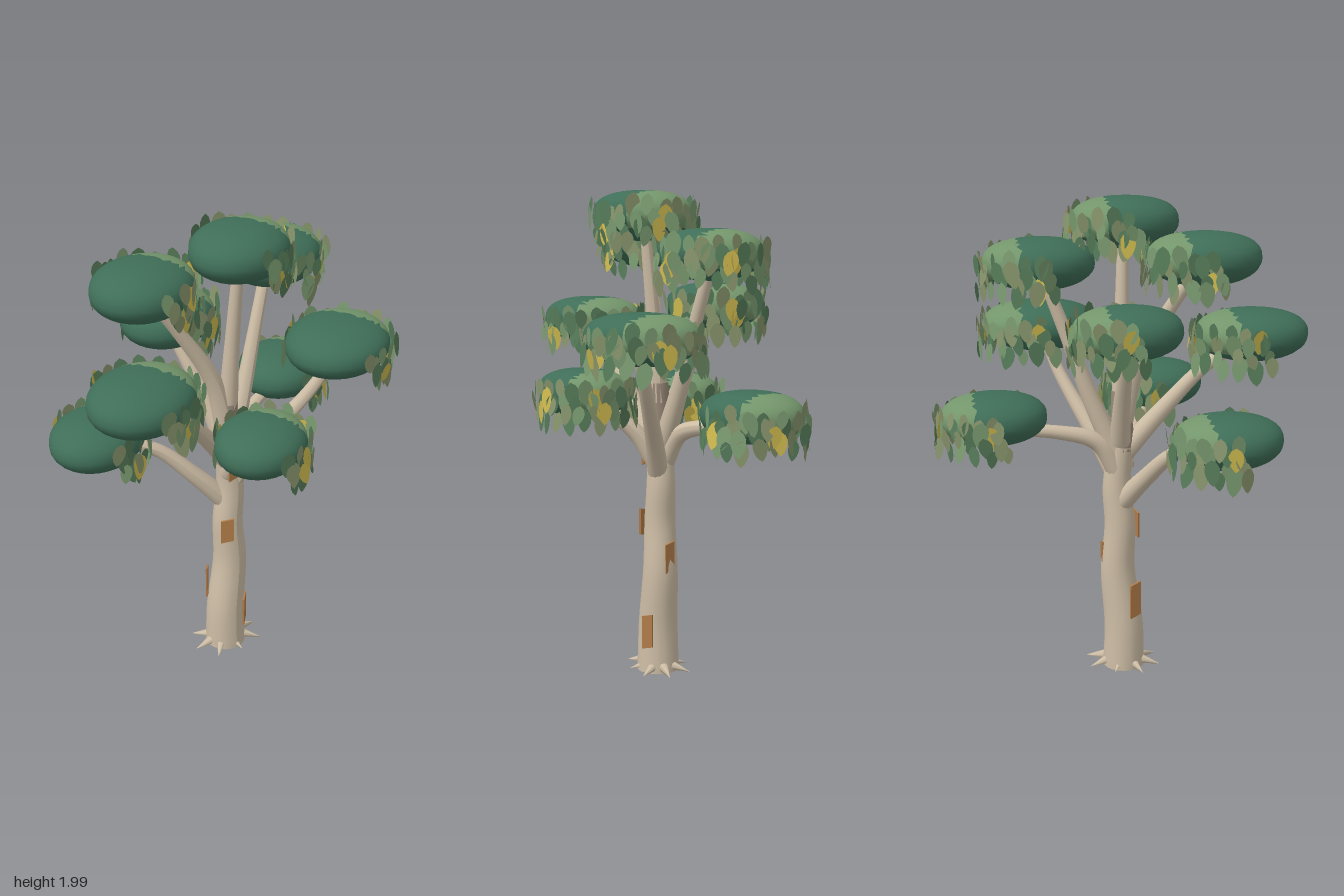
import * as THREE from 'three';
import { mergeGeometries } from 'three/addons/utils/BufferGeometryUtils.js';

const V = (x, y, z) => new THREE.Vector3(x, y, z);

function mat(name, color, doubleSided = false) {
  const m = new THREE.MeshStandardMaterial({ color });
  m.name = name;
  if (doubleSided) m.side = THREE.DoubleSide;
  return m;
}

function seeded(seed) {
  return () => {
    seed = (seed * 16807) % 2147483647;
    return seed / 2147483647;
  };
}

// Tapered limb: a tube whose rings are rescaled along the path
function limb(points, radii, sides = 12, steps = 20) {
  const curve = new THREE.CatmullRomCurve3(points);
  const geo = new THREE.TubeGeometry(curve, steps, 1, sides, false);
  const p = geo.attributes.position;
  const v = V(0, 0, 0);
  for (let i = 0; i <= steps; i++) {
    const c = curve.getPointAt(i / steps);
    const t = (i / steps) * (radii.length - 1);
    const k = Math.min(Math.floor(t), radii.length - 2);
    const r = THREE.MathUtils.lerp(radii[k], radii[k + 1], t - k);
    for (let j = 0; j <= sides; j++) {
      const n = i * (sides + 1) + j;
      v.fromBufferAttribute(p, n).sub(c).multiplyScalar(r).add(c);
      p.setXYZ(n, v.x, v.y, v.z);
    }
  }
  geo.computeVertexNormals();
  return geo;
}

// Foliage cushion: flat-topped ellipsoid, its far end in the lighter colour
function cushionGeometry() {
  const geo = new THREE.SphereGeometry(1, 28, 18).toNonIndexed();
  const p = geo.attributes.position;
  const nrm = geo.attributes.normal;
  for (let i = 0; i < p.count; i++) {
    const x = p.getX(i), y = p.getY(i), z = p.getZ(i);
    const r = Math.hypot(x, z);
    const k = r > 1e-4 ? Math.pow(r, 0.85) / r : 1;
    const h = y > 0 ? Math.pow(y, 0.75) : y;
    p.setXYZ(i, x * k * 0.218, h * 0.1, z * k * 0.187);
    const n = V(x / 0.218, y / 0.1, z / 0.187).normalize();
    nrm.setXYZ(i, n.x, n.y, n.z);
  }
  for (let i = 0; i < p.count; i += 3) {
    const cx = (p.getX(i) + p.getX(i + 1) + p.getX(i + 2)) / 3;
    const cy = (p.getY(i) + p.getY(i + 1) + p.getY(i + 2)) / 3;
    geo.addGroup(i, 3, cx > 0.085 && cy > -0.05 ? 1 : 0);
  }
  return geo;
}

// Pointed oval leaf, hanging in the xy plane
function leafGeometry() {
  const s = new THREE.Shape();
  s.moveTo(0, 0.045);
  s.quadraticCurveTo(0.036, 0.03, 0.027, -0.008);
  s.quadraticCurveTo(0.02, -0.038, 0, -0.052);
  s.quadraticCurveTo(-0.02, -0.038, -0.027, -0.008);
  s.quadraticCurveTo(-0.036, 0.03, 0, 0.045);
  return new THREE.ShapeGeometry(s, 3);
}

export function createModel() {
  const tree = new THREE.Group();
  tree.name = 'tree';
  const bark = mat('paleBark', 0xcdbda5);
  const greyBark = mat('greyBark', 0x9b8a7a);
  const peel = mat('peelingBark', 0xb07b48, true);
  const dark = mat('darkFoliage', 0x3f6e58);
  const light = mat('lightFoliage', 0x74966c);
  const leafMats = [
    mat('greenLeaf', 0x557a58, true),
    mat('sageLeaf', 0x7a9a70, true),
    mat('oliveLeaf', 0x87946c, true),
    mat('yellowLeaf', 0xccb84e, true),
  ];
  const add = (parent, name, geo, material) => {
    const m = new THREE.Mesh(geo, material);
    m.name = name;
    parent.add(m);
    return m;
  };

  // Trunk with a gentle sway
  add(tree, 'trunk', limb(
    [V(0.005, 0.01, -0.012), V(0.005, 0.2, -0.012), V(0.03, 0.45, -0.014), V(0.02, 0.65, -0.015),
      V(0.033, 0.82, -0.015), V(0.015, 1.0, -0.015)],
    [0.088, 0.082, 0.074, 0.066, 0.06, 0.05], 20, 32), bark);
  const base = add(tree, 'trunkBase', new THREE.CircleGeometry(0.088, 20), bark);
  base.rotation.x = Math.PI / 2;
  base.position.set(0.005, 0.01, -0.012);
  add(tree, 'upperTrunk', limb([V(0.015, 0.98, -0.015), V(0.012, 1.1, -0.012), V(0.015, 1.23, -0.008)],
    [0.05, 0.046, 0.042], 14, 6), greyBark);

  // Root spikes
  for (let i = 0; i < 8; i++) {
    const a = (i / 8) * Math.PI * 2;
    const out = V(Math.cos(a), -0.18, Math.sin(a)).normalize();
    const root = add(tree, 'root', new THREE.ConeGeometry(0.026, 0.11, 8), bark);
    root.quaternion.setFromUnitVectors(V(0, 1, 0), out);
    root.position.set(0.008 + Math.cos(a) * 0.112, 0.03, -0.012 + Math.sin(a) * (i % 4 === 2 ? 0.072 : 0.09));
  }

  // Branches, each ending inside its cushion
  const branches = [
    [V(0.015, 1.15, -0.01), V(0.02, 1.45, 0.01), V(0.025, 1.86, 0.05)],
    [V(0.01, 1.1, -0.01), V(-0.05, 1.34, -0.02), V(-0.19, 1.58, -0.05), V(-0.3, 1.74, -0.07)],
    [V(0.03, 0.95, -0.02), V(0.13, 1.2, -0.06), V(0.23, 1.5, -0.1), V(0.3, 1.7, -0.13)],
    [V(0.01, 0.96, 0), V(-0.13, 1.13, 0.05), V(-0.29, 1.31, 0.1), V(-0.43, 1.42, 0.14)],
    [V(0.015, 1.02, -0.03), V(-0.02, 1.22, -0.12), V(-0.07, 1.42, -0.23), V(-0.09, 1.5, -0.28)],
    [V(0.02, 0.83, -0.01), V(0.13, 0.99, 0.04), V(0.33, 1.25, 0.14), V(0.4, 1.38, 0.18)],
    [V(0.02, 0.74, -0.02), V(-0.1, 0.88, -0.07), V(-0.25, 1.03, -0.15), V(-0.42, 1.09, -0.21)],
    [V(0.015, 0.9, 0.0), V(0.0, 1.02, 0.08), V(-0.03, 1.12, 0.2), V(-0.04, 1.17, 0.28)],
    [V(0.02, 0.87, -0.02), V(0.1, 1.02, -0.07), V(0.24, 1.07, -0.14), V(0.42, 1.09, -0.22)],
  ];
  branches.forEach((pts, i) => {
    add(tree, 'branch', limb(pts, i === 0 ? [0.042, 0.03, 0.022] : [0.045, 0.036, 0.028, 0.023]), bark);
  });

  // Peeling bark strips: x, y, z, outward angle, width, height
  const strips = [
    [-0.028, 0.64, 0.048, 2.2, 0.055, 0.11],
    [-0.06, 0.33, -0.058, 3.85, 0.05, 0.15],
    [0.062, 0.19, 0.052, 0.8, 0.05, 0.14],
    [0.0, 0.93, 0.05, 1.6, 0.04, 0.08],
    [0.092, 0.51, -0.035, -0.4, 0.045, 0.12],
  ];
  for (const [x, y, z, a, w, h] of strips) {
    const geo = new THREE.BoxGeometry(w, h, 0.008);
    const p = geo.attributes.position;
    for (let i = 0; i < p.count; i++) p.setY(i, p.getY(i) + p.getX(i) * 0.25);
    geo.computeVertexNormals();
    const s = add(tree, 'barkStrip', geo, peel);
    s.position.set(x, y, z);
    s.rotation.y = Math.PI / 2 - a;
  }

  // Foliage cushions: x, top height, z, scale
  const cushions = [
    [0.02, 2.0, 0.06, 0.99], [-0.33, 1.89, -0.07, 1.02], [0.32, 1.85, -0.12, 1.02],
    [-0.485, 1.56, 0.14, 1.05], [-0.085, 1.63, -0.28, 0.98], [0.425, 1.54, 0.18, 1.1],
    [-0.47, 1.22, -0.23, 0.98], [-0.045, 1.29, 0.29, 0.94], [0.48, 1.24, -0.24, 0.98],
  ];
  const cushion = cushionGeometry();
  const leaf = leafGeometry();
  const turn = 0.45;
  cushions.forEach(([x, top, z, s], n) => {
    const pad = new THREE.Group();
    pad.name = 'foliage';
    pad.position.set(x, top - 0.1, z);
    tree.add(pad);
    const core = add(pad, 'cushion', cushion, [dark, light]);
    core.rotation.y = turn;
    core.scale.set(s, 1, s);

    // Skirt of hanging leaves around the lighter side
    const rnd = seeded(101 + n * 977);
    const sets = [[], [], [], []];
    const place = (a, y, size, set) => {
      const b = a - turn;
      const r = s / Math.hypot(Math.cos(b) / 0.218, Math.sin(b) / 0.187);
      const d = r * (y > 0.03 ? 0.96 : 1.0) + 0.004 + rnd() * 0.022;
      const m = new THREE.Matrix4().compose(
        V(Math.cos(a) * d, y, -Math.sin(a) * d),
        new THREE.Quaternion().setFromEuler(new THREE.Euler(
          (rnd() - 0.5) * 0.4, a + Math.PI / 2 + (rnd() - 0.5) * 0.7, (rnd() - 0.5) * 0.5, 'YXZ')),
        V(size, size, size));
      sets[set].push(leaf.clone().applyMatrix4(m));
    };
    const count = 52;
    for (let i = 0; i < count; i++) {
      const a = -1.7 + (3.9 * (i + rnd())) / count;
      place(a, 0.045 - 0.155 * ((i % 4) + rnd()) / 4, 0.75 + rnd() * 0.4, Math.floor(rnd() * 3));
    }
    for (const a of [-1.25, -1.1, 0, 0.12, 1.9]) place(a, -0.08 + rnd() * 0.1, 0.9 + rnd() * 0.3, 3);
    sets.forEach((list, k) => {
      if (list.length) add(pad, leafMats[k].name + 's', mergeGeometries(list), leafMats[k]);
    });
  });
  return tree;
}
